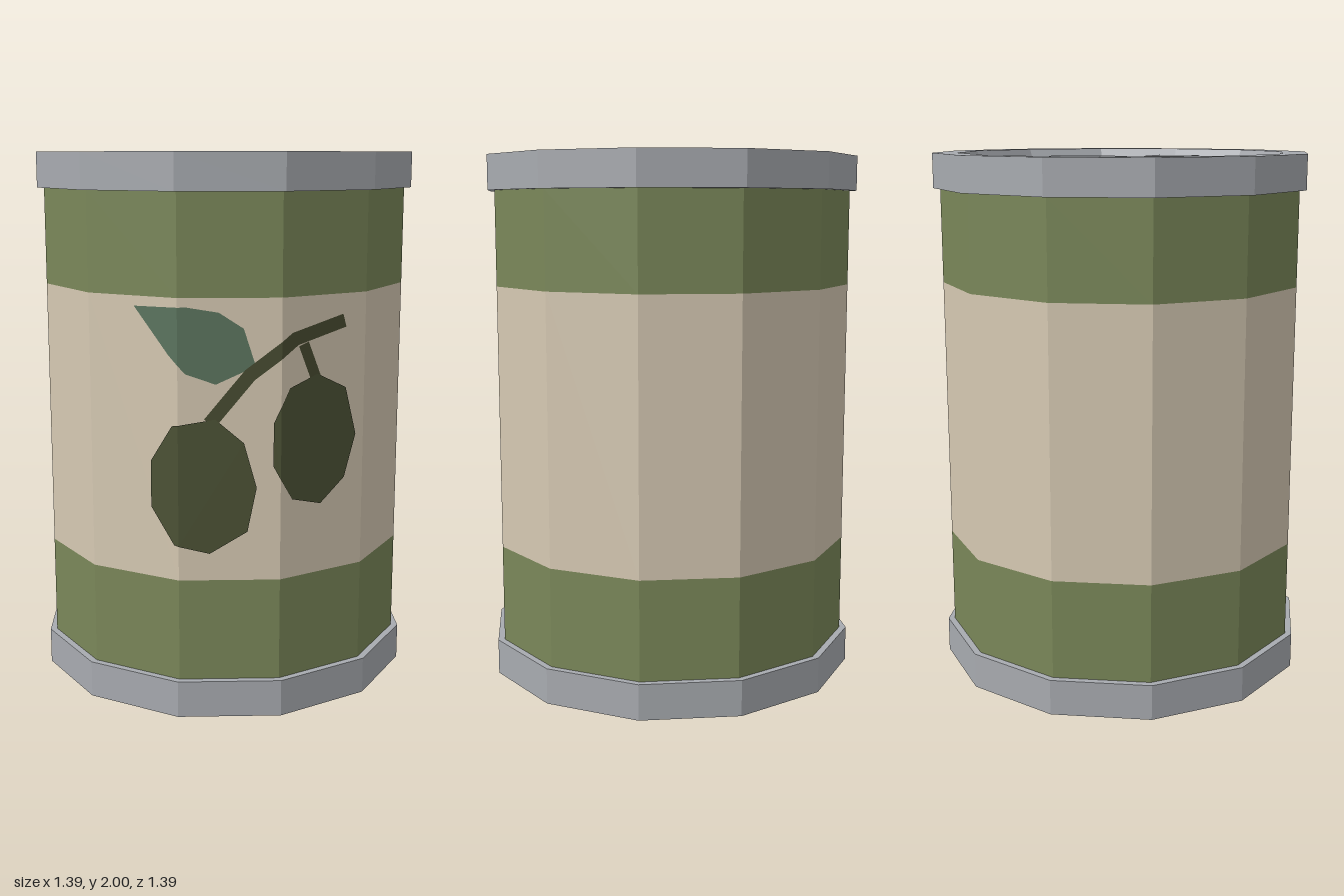
import * as THREE from 'three';

const mat = (name, color) => {
  const m = new THREE.MeshStandardMaterial({ color });
  m.name = name;
  return m;
};

// Faceted turned part: profile points are [distance to flat side, y]
function turned(profile, sides, phi) {
  const k = 1 / Math.cos(phi);
  const pts = profile.map(([r, y]) => new THREE.Vector2(r * k, y));
  const g = new THREE.LatheGeometry(pts, sides, phi).toNonIndexed();
  g.computeVertexNormals();
  return g;
}

// Keep the part of a convex polygon where s * (x - limit) >= 0
function clip(poly, limit, s) {
  const out = [];
  poly.forEach((a, i) => {
    const b = poly[(i + 1) % poly.length];
    const da = s * (a[0] - limit), db = s * (b[0] - limit);
    if (da >= 0) out.push(a);
    if (da * db < 0) {
      const t = da / (da - db);
      out.push([limit, a[1] + t * (b[1] - a[1])]);
    }
  });
  return out;
}

const APOTHEM = 0.67;
const EDGE = APOTHEM * Math.tan(Math.PI / 12);

// Lay a convex outline on the front facets of the can, just above the surface
function decal(group, name, outline, material, lift) {
  const pieces = [
    clip(outline, -EDGE, -1),
    clip(clip(outline, -EDGE, 1), EDGE, -1),
    clip(outline, EDGE, 1),
  ];
  for (const piece of pieces) {
    if (piece.length < 3) continue;
    const g = new THREE.ShapeGeometry(new THREE.Shape(piece.map(([x, y]) => new THREE.Vector2(x, y))));
    const p = g.attributes.position;
    for (let i = 0; i < p.count; i++) {
      const over = Math.max(0, Math.abs(p.getX(i)) - EDGE);
      p.setZ(i, APOTHEM + lift - over * Math.tan(Math.PI / 6));
    }
    g.computeVertexNormals();
    const mesh = new THREE.Mesh(g, material);
    mesh.name = name;
    group.add(mesh);
  }
}

// Split a path into mitred four-cornered pieces of constant width
function ribbon(path, width) {
  const v = path.map(([x, y]) => new THREE.Vector2(x, y));
  const normal = (i) => {
    const d = v[i + 1].clone().sub(v[i]).normalize();
    return new THREE.Vector2(-d.y, d.x);
  };
  const sides = v.map((p, i) => {
    const a = normal(Math.max(0, i - 1)), b = normal(Math.min(v.length - 2, i));
    const n = a.clone().add(b).normalize();
    n.multiplyScalar(width / 2 / n.dot(a));
    return [[p.x + n.x, p.y + n.y], [p.x - n.x, p.y - n.y]];
  });
  return sides.slice(1).map((s, i) => [sides[i][0], sides[i][1], s[1], s[0]]);
}

export function createModel() {
  const can = new THREE.Group();
  can.name = 'can';
  const metal = mat('metal', 0xa8abb0);
  const green = mat('labelGreen', 0x7a8759);
  const cream = mat('labelCream', 0xd6c9b3);
  const olive = mat('olive', 0x4c5235);
  const twig = mat('twig', 0x484c31);
  const leaf = mat('leaf', 0x5b745e);

  const add = (name, geometry, material) => {
    const mesh = new THREE.Mesh(geometry, material);
    mesh.name = name;
    can.add(mesh);
    return mesh;
  };
  const twelve = (profile) => turned(profile, 12, Math.PI / 12);

  // Metal ends; the lid is sunk inside its rim
  add('bottomRim', twelve([[0, 0], [0.695, 0], [0.695, 0.135], [0.66, 0.135]]), metal);
  add('topRimAndLid', twelve([
    [0.66, 1.87], [0.695, 1.87], [0.695, 2], [0.605, 2], [0.58, 1.94], [0, 1.94],
  ]), metal);

  // Label bands
  [['lowerBand', 0.135, 0.51, green], ['labelBand', 0.51, 1.515, cream], ['upperBand', 1.515, 1.87, green]]
    .forEach(([name, y0, y1, m]) => add(name, twelve([[APOTHEM, y0], [APOTHEM, y1]]), m));

  // Pull ring and its rivet
  const ring = add('pullRing', turned([[0.193, 0], [0.168, 0.045], [0.145, 0]], 8, 0), metal);
  ring.position.set(0, 1.94, -0.19);
  ring.scale.z = 1.245;
  const rivet = add('rivet', turned([
    [0.15, 0], [0.118, 0.045], [0.09, 0.02], [0.075, 0.035], [0.056, 0.005], [0, 0.005],
  ], 4, 0), metal);
  rivet.position.set(0, 1.94, 0.21);

  // Olive branch printed on the front
  const print = new THREE.Group();
  print.name = 'oliveBranch';
  can.add(print);
  const stem = [[-0.07, 1.08], [0.07, 1.25], [0.228, 1.37], [0.41, 1.42]];
  ribbon(stem, 0.048).forEach((q) => decal(print, 'stem', q, twig, 0.004));
  ribbon([[0.258, 1.35], [0.305, 1.225]], 0.038).forEach((q) => decal(print, 'sideStem', q, twig, 0.004));
  decal(print, 'leaf', [
    [-0.328, 1.48], [-0.21, 1.317], [-0.153, 1.254], [-0.048, 1.217],
    [0.09, 1.28], [0.048, 1.41], [-0.037, 1.465], [-0.148, 1.483],
  ], leaf, 0.003);
  decal(print, 'leftOlive', [
    [-0.275, 0.937], [-0.275, 0.77], [-0.195, 0.64], [-0.07, 0.61], [0.063, 0.69],
    [0.095, 0.85], [0.05, 1.01], [-0.05, 1.095], [-0.2, 1.07],
  ], olive, 0.005);
  decal(print, 'rightOlive', [
    [0.153, 1.08], [0.153, 0.926], [0.222, 0.8], [0.328, 0.767], [0.418, 0.85],
    [0.46, 1.005], [0.418, 1.18], [0.31, 1.24], [0.21, 1.2],
  ], olive, 0.005);
  return can;
}
